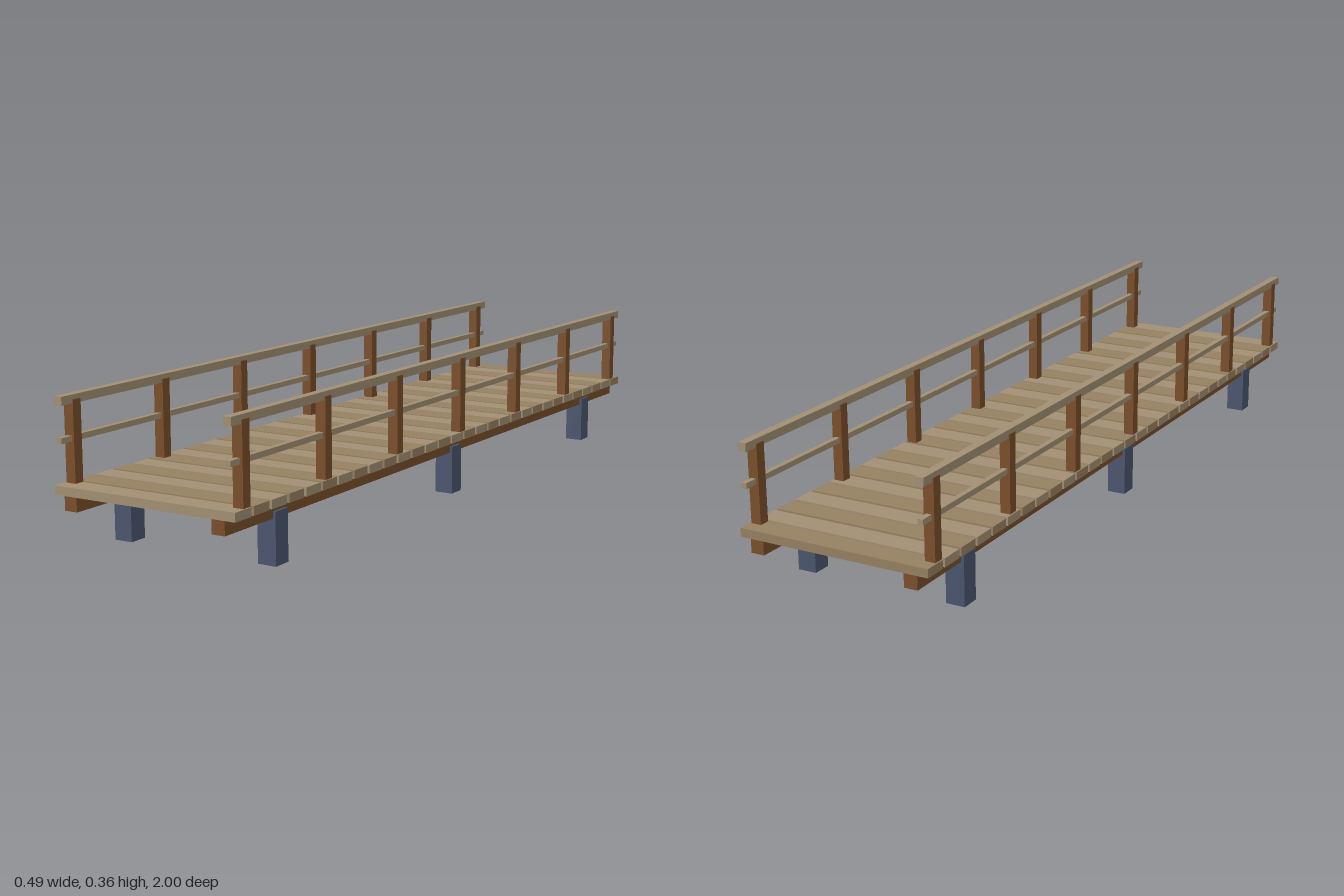
import * as THREE from 'three';

const paint = (color) => new THREE.MeshStandardMaterial({ color });

export function createModel() {
  const bridge = new THREE.Group();
  bridge.name = 'footbridge';
  const paleWood = paint(0xa28f73);
  const tanWood = paint(0x968062);
  const darkWood = paint(0x7a4e2a);
  const pileBlue = paint(0x4a556e);

  // Box of size w, h, d whose underside sits at height y
  const box = (name, material, w, h, d, x, y, z, parent = bridge) => {
    const mesh = new THREE.Mesh(new THREE.BoxGeometry(w, h, d), material);
    mesh.name = name;
    mesh.position.set(x, y + h / 2, z);
    parent.add(mesh);
  };

  // Deck planks in two alternating tones with narrow gaps
  const deck = new THREE.Group();
  deck.name = 'deck';
  bridge.add(deck);
  const count = 30, plankDepth = 0.058;
  const pitch = (2 - plankDepth) / (count - 1);
  for (let i = 0; i < count; i++) {
    const z = -1 + plankDepth / 2 + i * pitch;
    box('plank', i % 2 ? paleWood : tanWood, 0.488, 0.021, plankDepth, 0, 0.14, z, deck);
  }

  for (const side of [1, -1]) {
    const label = side > 0 ? 'left' : 'right';

    // Long beam under the deck, resting on three piles
    box(label + 'Beam', darkWood, 0.034, 0.033, 2, side * 0.2, 0.107, 0);
    for (const z of [-0.8, 0, 0.8]) {
      box(label + 'Pile', pileBlue, 0.048, 0.123, 0.048, side * 0.2, 0, z);
    }

    // Railing: seven posts, a handrail and a thinner middle rail
    const railing = new THREE.Group();
    railing.name = label + 'Railing';
    bridge.add(railing);
    const x = side * 0.2275;
    for (let i = -3; i <= 3; i++) {
      box('post', darkWood, 0.026, 0.19, 0.026, x, 0.161, i * 0.3175, railing);
    }
    box('handrail', paleWood, 0.021, 0.02, 2, x, 0.342, 0, railing);
    box('middleRail', paleWood, 0.0135, 0.0135, 2, x, 0.256, 0, railing);
  }
  return bridge;
}
